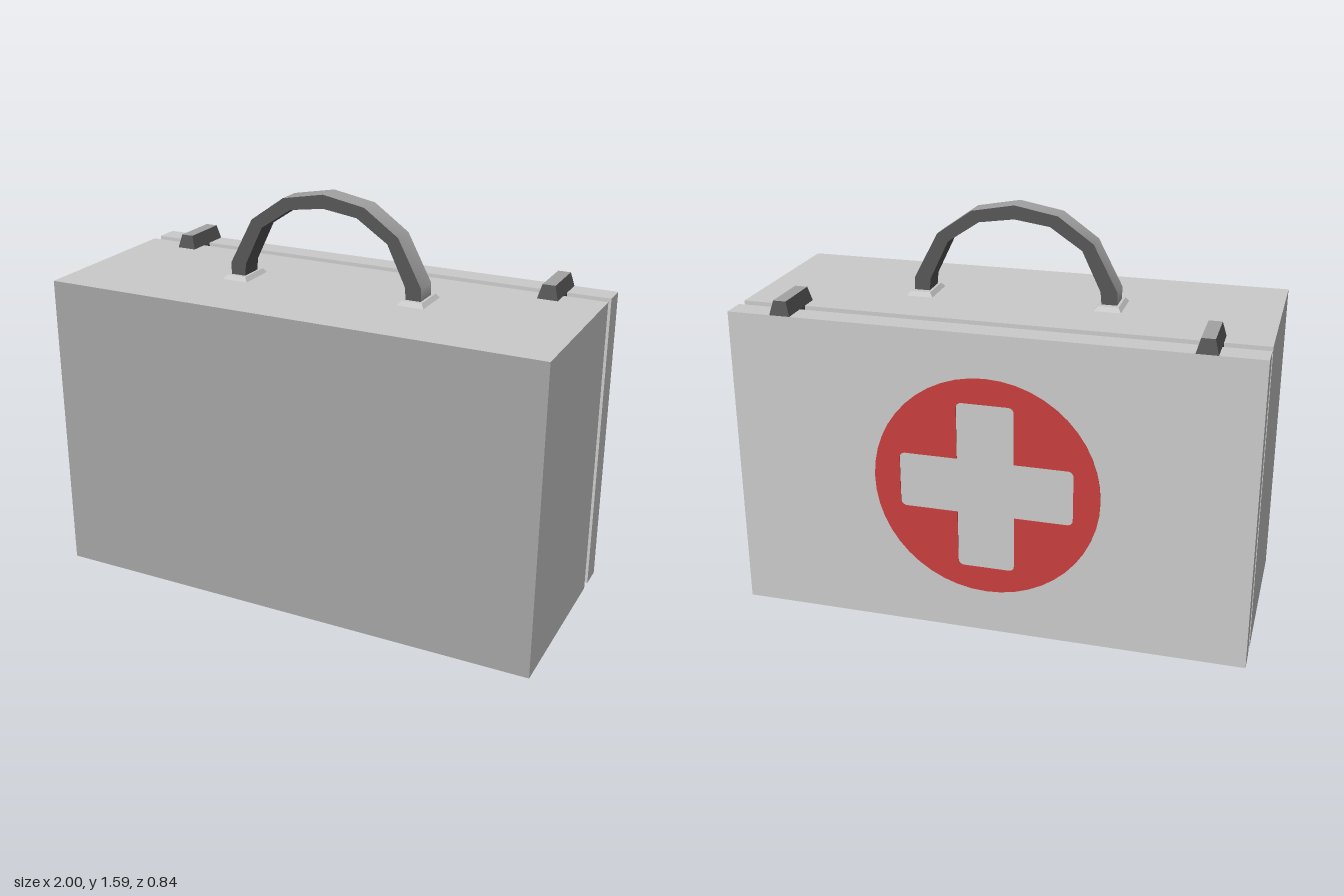
import * as THREE from 'three';

const mat = (name, color, side = THREE.FrontSide) => {
  const m = new THREE.MeshStandardMaterial({ color, side });
  m.name = name;
  return m;
};

export function createModel() {
  const shell = mat('light grey shell', 0xcacaca);
  const frontGrey = mat('mid grey front', 0xa5a5a5);
  const dark = mat('dark grey trim', 0x565656, THREE.DoubleSide);
  const trim = mat('grey trim', 0xa2a2a2, THREE.DoubleSide);
  const red = mat('red', 0xc83e3e);

  const model = new THREE.Group();
  model.name = 'firstAidCase';
  const add = (name, geometry, material, parent = model) => {
    const mesh = new THREE.Mesh(geometry, material);
    mesh.name = name;
    parent.add(mesh);
    return mesh;
  };
  // Box given by its limits, with an optional inset of the top face
  const box = (x0, x1, y0, y1, z0, z1, insetX = 0, insetZ = 0) => {
    const g = new THREE.BoxGeometry(x1 - x0, y1 - y0, z1 - z0);
    const p = g.attributes.position;
    for (let i = 0; i < p.count; i++) {
      if (p.getY(i) > 0) {
        p.setX(i, p.getX(i) - Math.sign(p.getX(i)) * insetX);
        p.setZ(i, p.getZ(i) - Math.sign(p.getZ(i)) * insetZ);
      }
    }
    g.translate((x0 + x1) / 2, (y0 + y1) / 2, (z0 + z1) / 2);
    g.computeVertexNormals();
    return g;
  };

  // Case: deep half, lid and the recessed seam between them
  const top = 1.215;
  add('caseBody', box(-1, 1, 0, top, -0.28, 0.42), [shell, shell, shell, shell, frontGrey, shell]);
  add('caseLid', box(-1, 1, 0, top, -0.42, -0.325), shell);
  add('seamCore', box(-0.955, 0.955, 0.045, 1.17, -0.335, -0.27), shell);

  // Latches bridging the seam, and the feet of the handle
  for (const s of [-1, 1]) {
    const latch = new THREE.Group();
    latch.name = s > 0 ? 'leftLatch' : 'rightLatch';
    model.add(latch);
    const x = s * 0.79;
    add('latchCap', box(x - 0.04, x + 0.04, top, 1.27, -0.42, -0.205, 0.015, 0.01),
      [dark, dark, trim, dark, dark, dark], latch);
    add('latchCatch', box(x - 0.04, x + 0.04, 1.165, top, -0.325, -0.28), dark, latch);
    const f = s * 0.37;
    add(s > 0 ? 'leftHandleFoot' : 'rightHandleFoot',
      box(f - 0.052, f + 0.052, top, 1.232, -0.055, 0.105, 0.012, 0.012), shell);
  }

  // Handle: faceted arch, grey on the outside and dark on its other faces
  const arch = (half) => [...half.map(([x, y]) => [-x, y]),
    ...half.slice(0, -1).reverse()];
  const outer = arch([[0.4, 1.23], [0.4, 1.28], [0.305, 1.46], [0.168, 1.557], [0, 1.588]]);
  const inner = arch([[0.34, 1.23], [0.335, 1.28], [0.262, 1.432], [0.138, 1.515], [0, 1.535]]);
  const zBack = -0.018, zFront = 0.077;
  // Ribbon of quads between two matching rails
  const ribbon = (a, za, b, zb) => {
    const pos = [], index = [];
    a.forEach(([x, y], i) => {
      pos.push(x, y, za, b[i][0], b[i][1], zb);
      if (i) {
        const k = 2 * i;
        index.push(k - 2, k - 1, k, k, k - 1, k + 1);
      }
    });
    const g = new THREE.BufferGeometry();
    g.setAttribute('position', new THREE.Float32BufferAttribute(pos, 3));
    g.setIndex(index);
    g.computeVertexNormals();
    return g;
  };
  const handle = new THREE.Group();
  handle.name = 'handle';
  model.add(handle);
  add('handleOuter', ribbon(outer, zBack, outer, zFront), trim, handle);
  add('handleInner', ribbon(inner, zFront, inner, zBack), dark, handle);
  add('handleFront', ribbon(outer, zFront, inner, zFront), dark, handle);
  add('handleBack', ribbon(inner, zBack, outer, zBack), dark, handle);

  // Emblem on the lid: thin red disc with a rounded cross cut out
  const disc = new THREE.Shape().absarc(0, 0, 0.437, 0, Math.PI * 2, false);
  const L = 0.335, W = 0.11, r = 0.025;
  const cross = new THREE.Path();
  for (let i = 0; i < 4; i++) {
    const c = Math.cos(i * Math.PI / 2), s = Math.sin(i * Math.PI / 2);
    const at = (x, y) => [x * c - y * s, x * s + y * c];
    if (i === 0) cross.moveTo(...at(W, -W));
    else cross.lineTo(...at(W, -W));
    cross.lineTo(...at(L - r, -W));
    cross.quadraticCurveTo(...at(L, -W), ...at(L, -W + r));
    cross.lineTo(...at(L, W - r));
    cross.quadraticCurveTo(...at(L, W), ...at(L - r, W));
  }
  cross.closePath();
  disc.holes.push(cross);
  const emblem = add('emblem',
    new THREE.ExtrudeGeometry(disc, { depth: 0.004, bevelEnabled: false, curveSegments: 24 }), red);
  emblem.rotation.y = Math.PI;
  emblem.position.set(0, 0.61, -0.419);

  return model;
}
